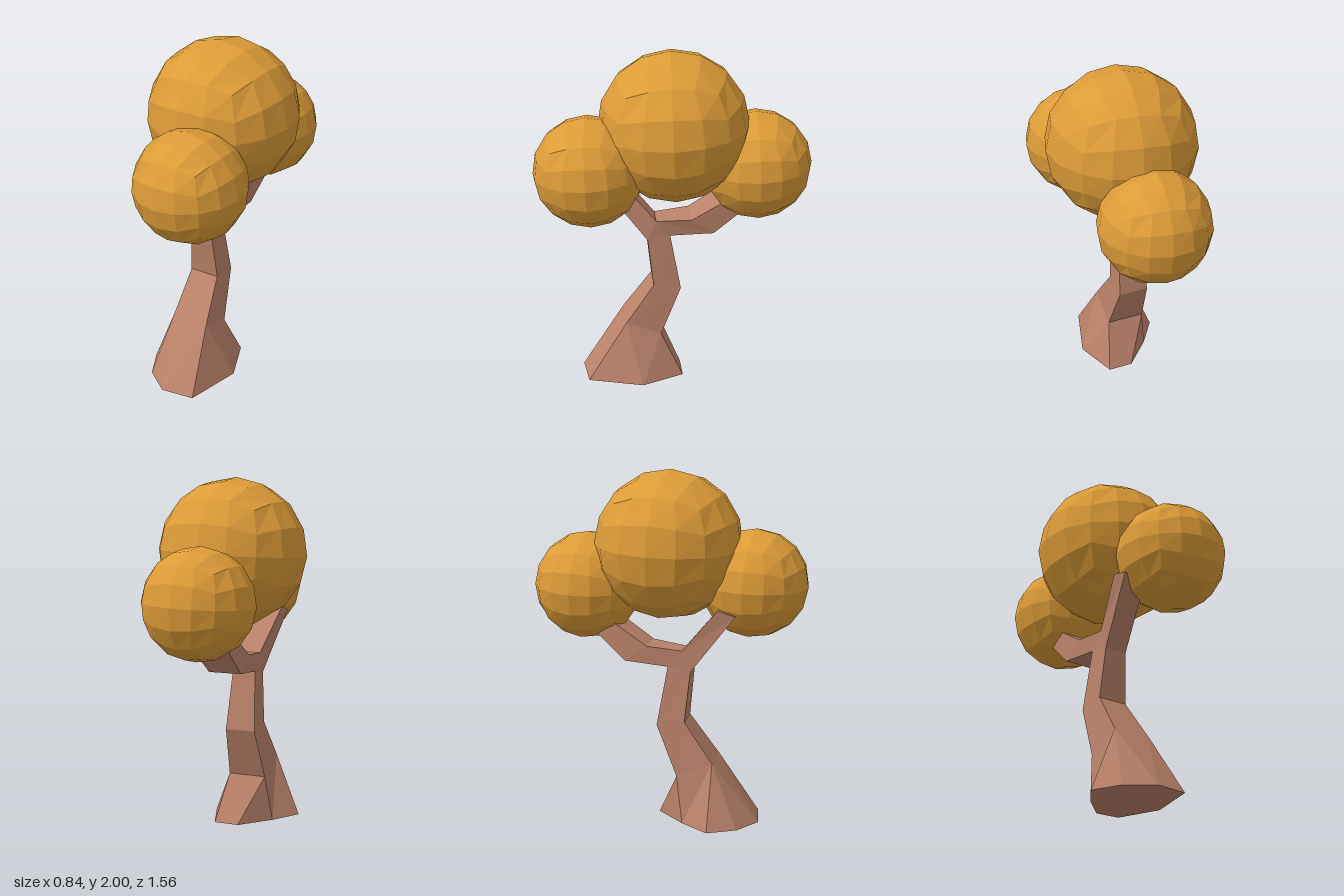
import * as THREE from 'three';

const leaf = new THREE.MeshStandardMaterial({ color: 0xdc9b37, flatShading: true });
leaf.name = 'amber leaves';
const bark = new THREE.MeshStandardMaterial({ color: 0xbb826a, flatShading: true });
bark.name = 'brown bark';

// Flat-shaded mesh from polygons, each a convex loop of points
function facetMesh(name, polygons) {
  const pos = [];
  for (const p of polygons) {
    for (let i = 1; i < p.length - 1; i++) pos.push(...p[0], ...p[i], ...p[i + 1]);
  }
  const g = new THREE.BufferGeometry();
  g.setAttribute('position', new THREE.Float32BufferAttribute(pos, 3));
  g.computeVertexNormals();
  const mesh = new THREE.Mesh(g, bark);
  mesh.name = name;
  return mesh;
}

// Side quads joining successive rings, with a cap on the last one if wanted
function skin(rings, cap) {
  const out = [];
  for (let r = 0; r < rings.length - 1; r++) {
    const a = rings[r], b = rings[r + 1], n = a.length;
    for (let i = 0; i < n; i++) {
      const j = (i + 1) % n;
      out.push([a[i], a[j], b[j], b[i]]);
    }
  }
  if (cap) out.push(rings[rings.length - 1]);
  return out;
}

// Four-cornered ring: two front corners, then two back corners
const ring = (xl, xr, yf, zf, yb, zb) =>
  [[xl, yf, zf], [xr, yf, zf], [xr, yb, zb], [xl, yb, zb]];

// Faceted ball made from a rounded-out cube with even quads
function foliage(name, radius, position) {
  const g = new THREE.BoxGeometry(2, 2, 2, 4, 4, 4).toNonIndexed();
  const p = g.attributes.position, v = new THREE.Vector3();
  const even = (t) => Math.tan(t * Math.PI / 4);
  for (let i = 0; i < p.count; i++) {
    v.fromBufferAttribute(p, i);
    v.set(even(v.x), even(v.y), even(v.z)).setLength(radius);
    p.setXYZ(i, v.x, v.y, v.z);
  }
  g.computeVertexNormals();
  const mesh = new THREE.Mesh(g, leaf);
  mesh.name = name;
  mesh.position.set(...position);
  mesh.rotation.set(0.04, -0.1, 0.04);
  return mesh;
}

export function createModel() {
  const tree = new THREE.Group();
  tree.name = 'tree';

  // Trunk sections above the flared foot
  const low = ring(-0.17, 0.05, 0.36, 0.285, 0.27, 0.08);
  const knee = ring(-0.15, 0.025, 0.59, 0.12, 0.565, -0.04);
  const fork = ring(-0.13, 0.005, 0.88, 0.15, 0.905, 0.02);
  const crotchL = [-0.13, 1.0, 0.1], crotchR = [0.005, 1.0, 0.1];

  // Flared foot: eight-sided base joined to the four-sided trunk
  const base = [[-0.095, 0.545], [0.095, 0.52], [0.185, 0.2], [0.095, -0.045],
    [-0.05, -0.045], [-0.205, 0.12], [-0.315, 0.28], [-0.24, 0.44]].map(([x, z]) => [x, 0, z]);
  const [fl, fr, br, bl] = low;
  tree.add(facetMesh('trunkFoot', [
    [base[0], base[1], fr, fl],
    [base[1], base[2], fr], [base[2], br, fr], [base[2], base[3], br],
    [base[3], base[4], bl, br],
    [base[4], base[5], bl], [base[5], base[6], fl, bl],
    [base[6], base[7], fl], [base[7], base[0], fl],
    [...base].reverse(),
  ]));

  // Bent trunk, with side triangles closing the fork
  tree.add(facetMesh('trunk', [
    ...skin([low, knee, fork], false),
    [fork[1], fork[2], crotchR],
    [fork[3], fork[0], crotchL],
  ]));

  // Front branch
  tree.add(facetMesh('frontBranch', skin([
    [fork[0], fork[1], crotchR, crotchL],
    ring(-0.19, -0.05, 1.22, 0.41, 1.25, 0.31),
  ], true)));

  // Back branch
  tree.add(facetMesh('backBranch', skin([
    [crotchL, crotchR, fork[2], fork[3]],
    ring(-0.14, 0.05, 1.02, -0.1, 0.93, -0.225),
    ring(-0.13, 0.085, 1.19, -0.36, 1.12, -0.43),
  ], true)));

  // Crown
  tree.add(
    foliage('mainFoliage', 0.42, [0, 1.58, 0]),
    foliage('frontFoliage', 0.308, [0.08, 1.365, 0.475]),
    foliage('backFoliage', 0.308, [0.003, 1.335, -0.47]),
  );
  return tree;
}
